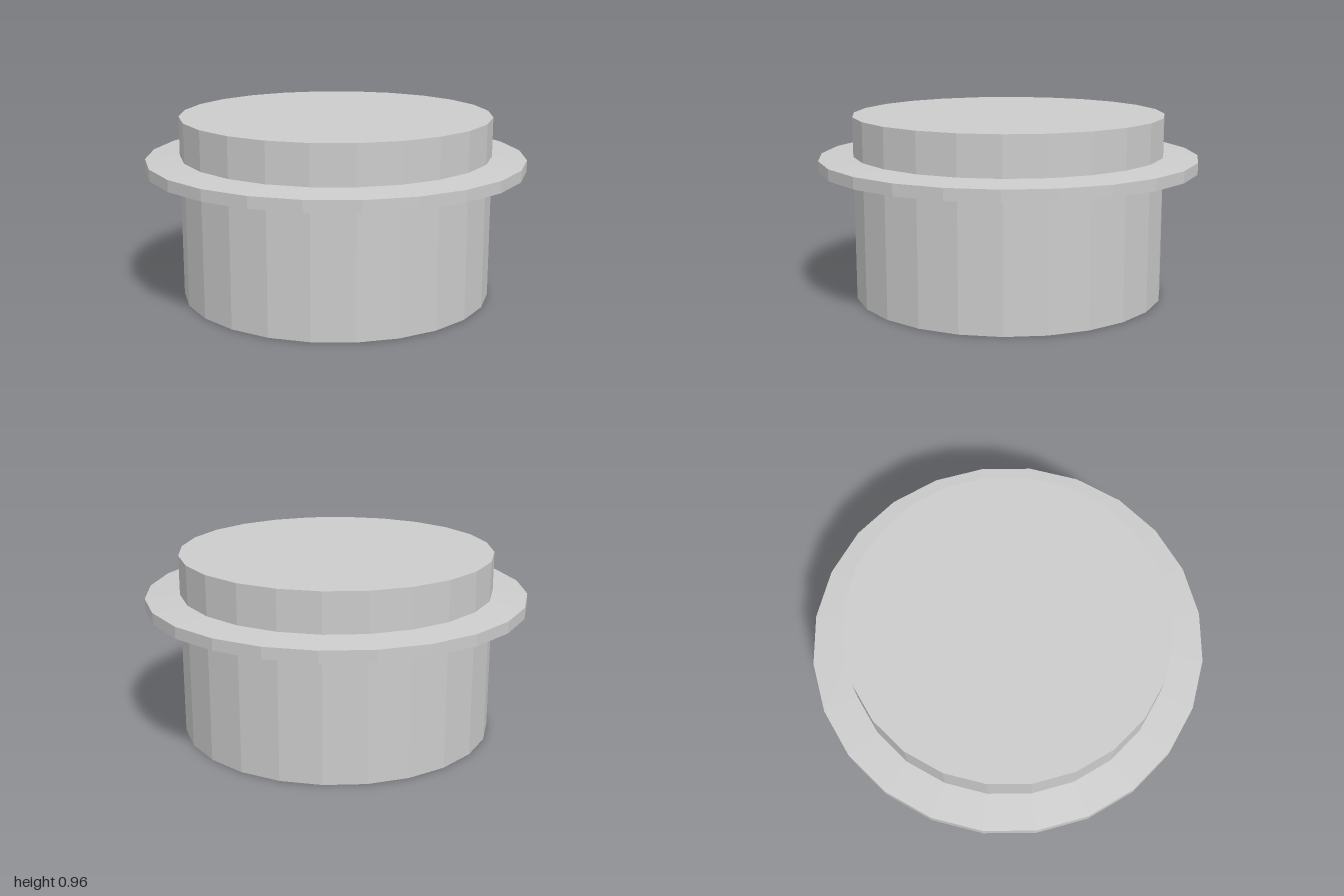
import * as THREE from 'three';

const SIDES = 24;
const BODY_R = 0.82;

export function createModel() {
  const group = new THREE.Group();
  const material = new THREE.MeshStandardMaterial({ color: 0xcccccc, flatShading: true });

  // Each part is a faceted ring turned from [radius, height] points, bottom to top
  const turn = (name, points) => {
    const profile = points.map(([r, y]) => new THREE.Vector2(r, y));
    const mesh = new THREE.Mesh(new THREE.LatheGeometry(profile, SIDES), material);
    mesh.name = name;
    group.add(mesh);
  };

  // Lower drum with its closed base
  turn('body', [[0, 0], [BODY_R, 0], [BODY_R, 0.665]]);
  // Thin projecting rim, tapering slightly outwards
  turn('flange', [[BODY_R, 0.665], [1, 0.68], [1, 0.74], [BODY_R, 0.755]]);
  // Short upper drum with its flat lid
  turn('cap', [[BODY_R, 0.755], [BODY_R, 0.96], [0, 0.96]]);

  return group;
}
